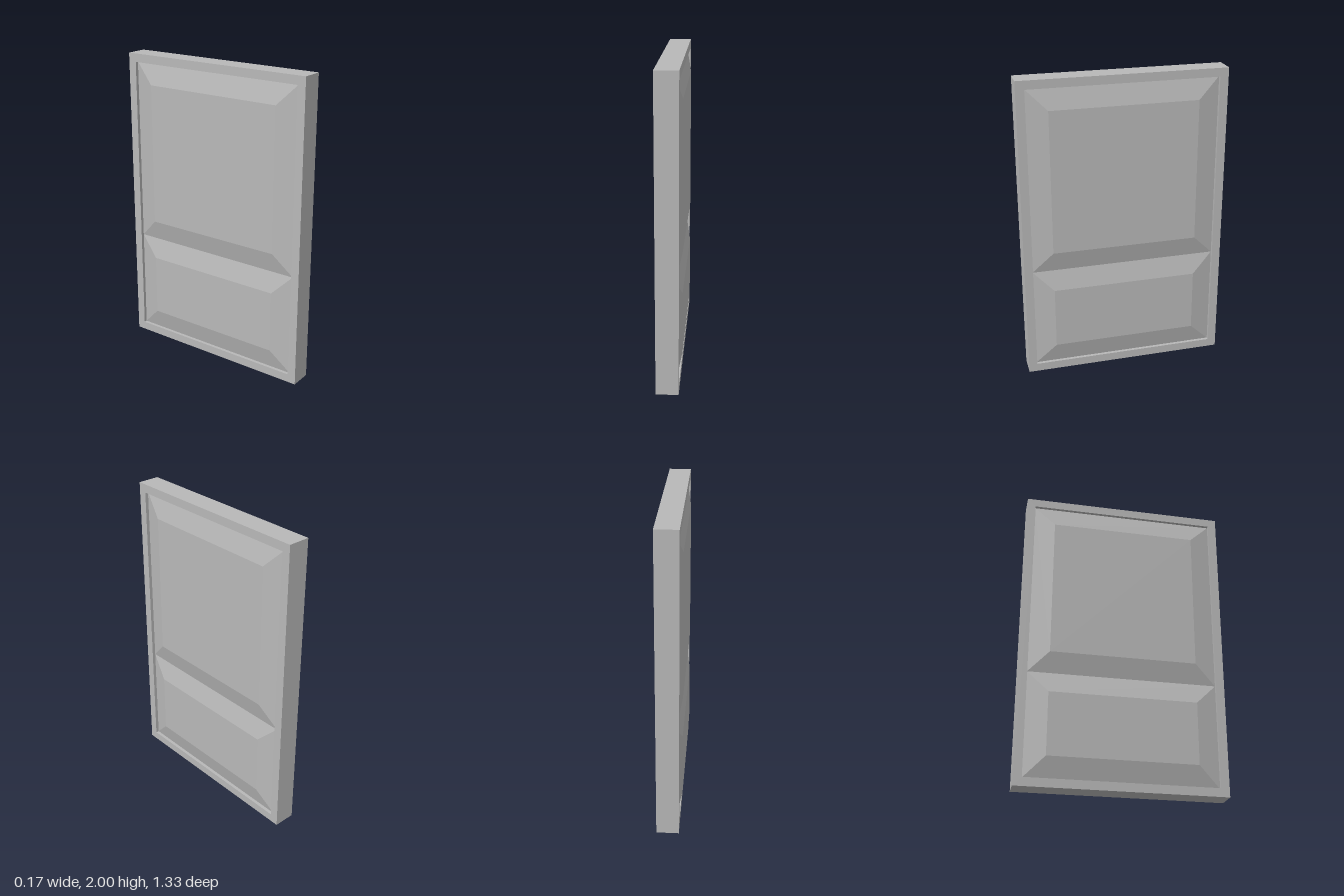
import * as THREE from 'three';

const HALF_DEPTH = 0.0715, HALF_WIDTH = 0.665, HEIGHT = 2;
const OPENING = 0.61, BEVEL = 0.135, BASE = 0.05, RAISED = 0.083;

// Rectangle in the door's plane, traced counter-clockwise
const corners = (half, y0, y1) => [[-half, y0], [half, y0], [half, y1], [-half, y1]];

// Raised field: flat centre surrounded by four sloping bevels
function raisedField(y0, y1) {
  const outer = corners(OPENING, y0, y1).map(([x, y]) => [x, y, BASE]);
  const inner = corners(OPENING - BEVEL, y0 + BEVEL, y1 - BEVEL).map(([x, y]) => [x, y, RAISED]);
  const points = [];
  const quad = (a, b, c, d) => points.push(...a, ...b, ...c, ...a, ...c, ...d);
  for (let i = 0; i < 4; i++) {
    const j = (i + 1) % 4;
    quad(outer[i], outer[j], inner[j], inner[i]);
  }
  quad(...inner);
  const geometry = new THREE.BufferGeometry();
  geometry.setAttribute('position', new THREE.Float32BufferAttribute(points, 3));
  geometry.computeVertexNormals();
  return geometry;
}

export function createModel() {
  const model = new THREE.Group();
  model.name = 'panelDoor';
  const grey = new THREE.MeshStandardMaterial({ color: 0xb8b8b8 });
  grey.name = 'plainGrey';

  // Outer frame with a rectangular opening
  const toVectors = (list) => list.map(([x, y]) => new THREE.Vector2(x, y));
  const shape = new THREE.Shape(toVectors(corners(HALF_WIDTH, 0, HEIGHT)));
  shape.holes.push(new THREE.Path(toVectors(corners(OPENING, 0.055, 1.945)).reverse()));
  const frameGeometry = new THREE.ExtrudeGeometry(shape, { depth: HALF_DEPTH * 2, bevelEnabled: false });
  frameGeometry.translate(0, 0, -HALF_DEPTH).rotateY(Math.PI / 2);
  const frame = new THREE.Mesh(frameGeometry, grey);
  frame.name = 'frame';
  model.add(frame);

  // Tall upper and short lower panels on both faces
  for (const [name, y0, y1] of [['upperPanel', 0.735, 1.945], ['lowerPanel', 0.055, 0.735]]) {
    for (const side of [1, -1]) {
      const panel = new THREE.Mesh(raisedField(y0, y1), grey);
      panel.name = name + (side > 0 ? 'Left' : 'Right');
      panel.rotation.y = side * Math.PI / 2;
      model.add(panel);
    }
  }
  return model;
}
